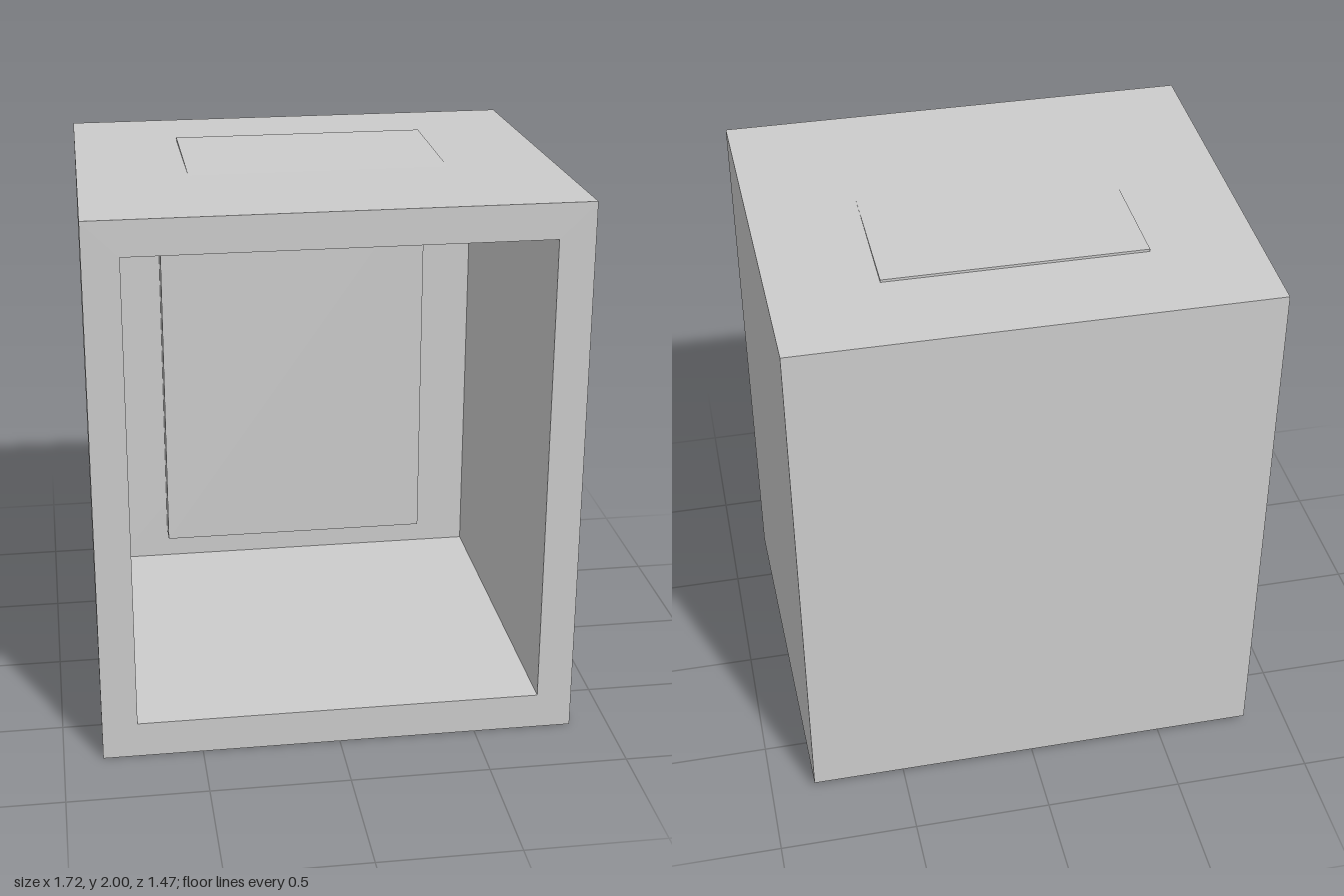
import * as THREE from 'three';

const material = new THREE.MeshStandardMaterial({ color: 0xcccccc, flatShading: true });

// Rectangle corners, counter-clockwise seen from the front
const ring = (halfWidth, y0, y1, z) => [
  [-halfWidth, y0, z], [halfWidth, y0, z], [halfWidth, y1, z], [-halfWidth, y1, z],
];

// Joins successive rings with quads and closes both ends
function shellGeometry(rings) {
  const positions = [];
  const quad = (a, b, c, d) => positions.push(...a, ...b, ...c, ...a, ...c, ...d);
  for (let i = 0; i < rings.length - 1; i++) {
    const p = rings[i], q = rings[i + 1];
    for (let j = 0; j < 4; j++) {
      const k = (j + 1) % 4;
      quad(p[j], p[k], q[k], q[j]);
    }
  }
  const first = rings[0], last = rings[rings.length - 1];
  quad(first[3], first[2], first[1], first[0]);
  quad(...last);
  const geometry = new THREE.BufferGeometry();
  geometry.setAttribute('position', new THREE.Float32BufferAttribute(positions, 3));
  geometry.computeVertexNormals();
  return geometry;
}

export function createModel() {
  const model = new THREE.Group();
  model.name = 'openCabinet';

  const add = (name, geometry) => {
    const mesh = new THREE.Mesh(geometry, material);
    mesh.name = name;
    model.add(mesh);
  };
  // Box given by its half width and its y and z ranges
  const addBox = (name, halfWidth, y0, y1, z0, z1) => {
    const geometry = new THREE.BoxGeometry(halfWidth * 2, y1 - y0, z1 - z0);
    geometry.translate(0, (y0 + y1) / 2, (z0 + z1) / 2);
    add(name, geometry);
  };

  // Thick-walled case, slightly narrower at the back, with a straight cavity
  add('case', shellGeometry([
    ring(0.84, 0.027, 1.976, -0.735),
    ring(0.86, 0, 2, 0.735),
    ring(0.733, 0.132, 1.873, 0.735),
    ring(0.733, 0.132, 1.873, -0.63),
  ]));

  // Raised panel on the inner back wall
  addBox('backPanel', 0.527, 0.248, 1.76, -0.64, -0.54);

  // Ceiling fitting that passes through the roof, with a smaller block below
  addBox('ceilingFitting', 0.463, 1.815, 1.991, -0.38, 0.38);
  addBox('lowerFitting', 0.352, 1.76, 1.815, -0.28, 0.28);

  return model;
}
